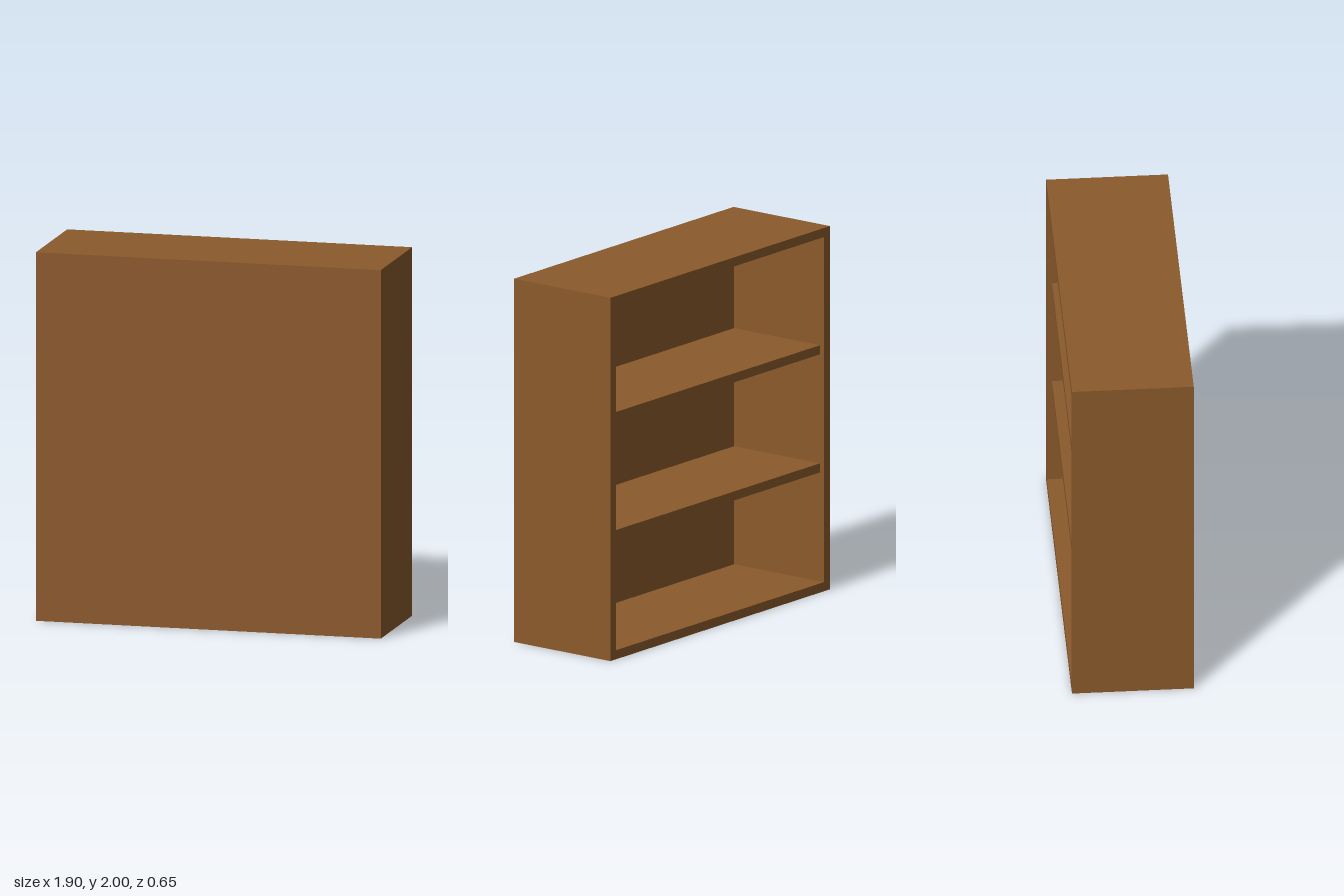
import * as THREE from 'three';

const W = 1.9, H = 2, D = 0.65; // overall size
const T = 0.05;                 // board thickness
const PANEL = 0.043;            // closing panel thickness
const INSET = 0.027;            // shelf setback from the open side

export function createModel() {
  const wood = new THREE.MeshStandardMaterial({ color: 0x8b5a2b });
  wood.name = 'brown wood';
  const group = new THREE.Group();
  group.name = 'bookcase';

  const board = (name, w, h, d, x, y, z) => {
    const mesh = new THREE.Mesh(new THREE.BoxGeometry(w, h, d), wood);
    mesh.name = name;
    mesh.position.set(x, y, z);
    group.add(mesh);
  };

  const innerW = W - 2 * T;
  const innerD = D - PANEL;

  // Uprights
  for (const [name, s] of [['leftSide', 1], ['rightSide', -1]]) {
    board(name, T, H, D, s * (W - T) / 2, H / 2, 0);
  }

  // Top and bottom boards between the uprights
  board('bottomBoard', innerW, T, D, 0, T / 2, 0);
  board('topBoard', innerW, T, D, 0, H - T / 2, 0);

  // Panel closing the +z side; the -z side stays open
  board('closingPanel', innerW, H - 2 * T, PANEL, 0, H / 2, (D - PANEL) / 2);

  // Two evenly spaced shelves, set back slightly from the opening
  const pitch = (H - T) / 3;
  for (let i = 1; i <= 2; i++) {
    board('shelf' + i, innerW, T, innerD - INSET, 0, T / 2 + i * pitch, (INSET - PANEL) / 2);
  }

  return group;
}
